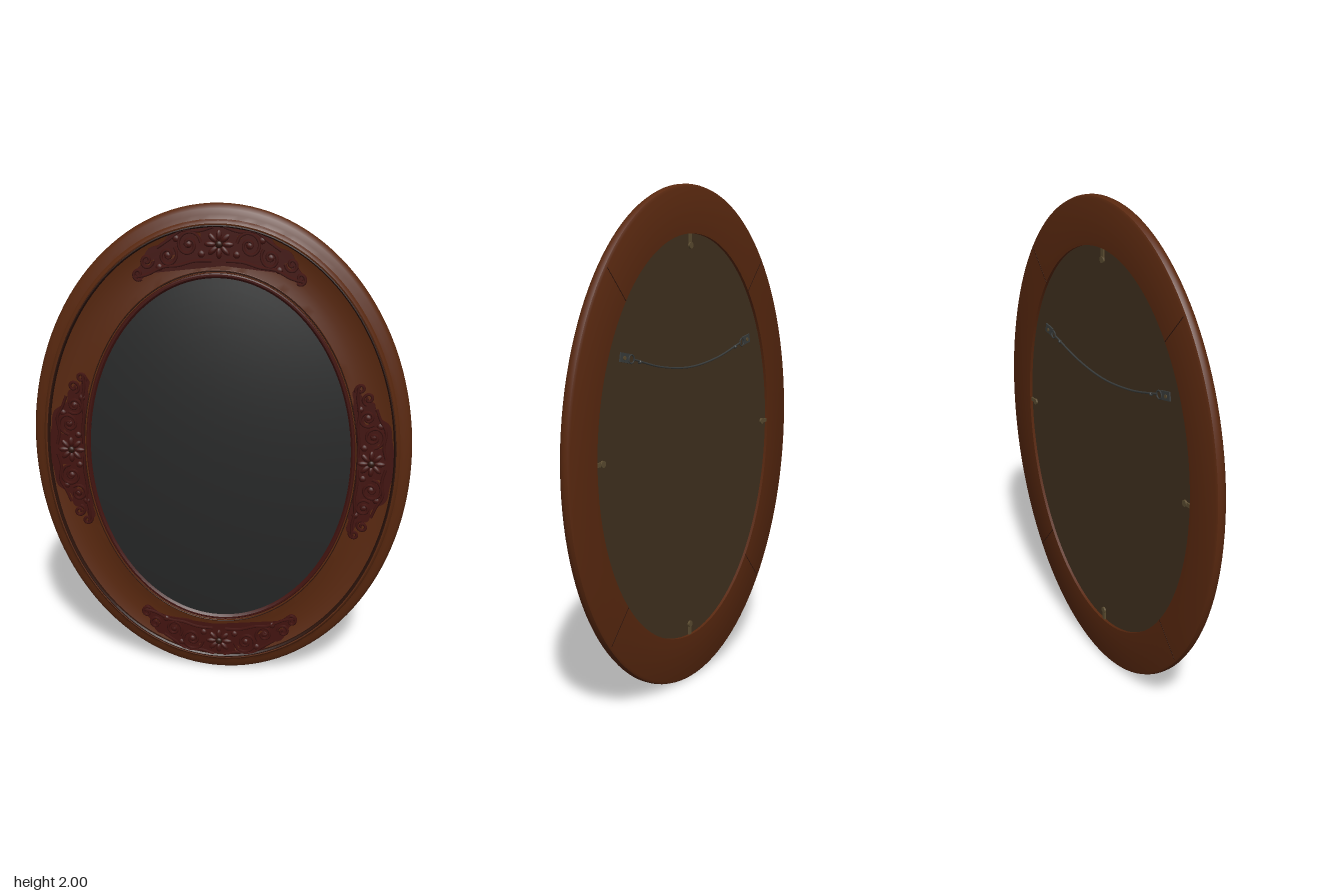
import * as THREE from 'three';
import { toCreasedNormals } from 'three/addons/utils/BufferGeometryUtils.js';

const mat = (name, color, side = THREE.FrontSide) => {
  const m = new THREE.MeshStandardMaterial({ color, side });
  m.name = name;
  return m;
};

// Oval at t: 0 is the outer edge of the frame, 1 is the edge of the glass
const oval = (t, a, z) => new THREE.Vector3(
  (0.765 - 0.24 * t) * Math.cos(a), 1 + (1 - 0.275 * t) * Math.sin(a), z);

// Sweep a profile of [t, z] points round the oval
function sweep(profile, point = oval, seg = 128) {
  const pos = [], index = [], n = profile.length;
  for (let i = 0; i < seg; i++)
    for (const [t, z] of profile) pos.push(...point(t, i / seg * Math.PI * 2, z).toArray());
  for (let i = 0; i < seg; i++) {
    const k = (i + 1) % seg;
    for (let j = 0; j < n - 1; j++) {
      const a = i * n + j, b = k * n + j;
      index.push(a, b, b + 1, a, b + 1, a + 1);
    }
  }
  const g = new THREE.BufferGeometry();
  g.setAttribute('position', new THREE.Float32BufferAttribute(pos, 3));
  g.setIndex(index);
  return toCreasedNormals(g, 0.6);
}

export function createModel() {
  const root = new THREE.Group();
  root.name = 'ovalFrame';
  const wood = mat('warm wood', 0x59280f);
  const carved = mat('dark red carving', 0x42130f);
  const dark = mat('dark groove wood', 0x2c130a);
  const glass = mat('dark glass', 0x272828);
  const board = mat('backing board', 0x41311f);
  const steel = mat('dull steel', 0x3a3d3c);
  const brass = mat('old brass', 0x5b4c30);

  const add = (name, geo, material, parent = root) => {
    const m = new THREE.Mesh(geo, material);
    m.name = name;
    parent.add(m);
    return m;
  };

  // Moulded frame, from the rebate at the back round to the inner edge
  add('frame', sweep([
    [0.68, -0.045], [0.68, -0.062], [0.05, -0.062], [0.015, -0.057], [0, -0.046], [0, -0.034],
    [0.02, -0.023], [0.06, -0.015], [0.13, -0.009], [0.19, -0.003], [0.21, 0.006], [0.24, 0.012],
    [0.27, 0.01], [0.29, 0.0], [0.36, -0.005], [0.5, -0.01], [0.65, -0.01], [0.78, -0.006],
    [0.88, 0.0], [0.9, 0.006], [0.92, 0.006], [0.935, -0.001]]), wood);
  add('outerBead', sweep([[0.255, 0.006], [0.26, 0.013], [0.275, 0.014], [0.295, 0.008], [0.3, -0.004]]), dark);
  add('ridgeLine', sweep([[0.885, 0.0], [0.89, 0.0075], [0.9, 0.0075], [0.91, 0.004]]), dark);
  add('innerLip', sweep([[0.925, 0.004], [0.94, 0.008], [0.965, 0.008], [0.99, 0.003], [1.02, -0.01]]), carved);

  // Domed glass
  const dome = [];
  for (let i = 0; i <= 16; i++) {
    const r = Math.max(1 - i / 16, 0.0005);
    dome.push([r, 0.062 * (1 - r * r) - 0.001]);
  }
  add('domedGlass', sweep(dome, (r, a, z) =>
    new THREE.Vector3(0.53 * r * Math.cos(a), 1 + 0.73 * r * Math.sin(a), z)), glass);

  // Backing board
  const panel = add('backingBoard', new THREE.CircleGeometry(1, 128), board);
  panel.scale.set(0.605, 0.815, 1);
  panel.rotation.y = Math.PI;
  panel.position.set(0, 1, -0.05);

  // Four carved ornaments, laid out flat in (u, v) and bent onto the oval
  const topEdge = [[0, 0.076], [0.09, 0.066], [0.16, 0.072], [0.21, 0.04], [0.26, 0.045], [0.31, 0.01],
    [0.35, 0.0], [0.34, -0.03], [0.28, -0.03], [0.22, -0.045], [0.15, -0.065], [0.08, -0.06], [0, -0.072]];
  const sideEdge = [[0, 0.088], [0.09, 0.075], [0.15, 0.07], [0.2, 0.02], [0.25, 0.02], [0.28, -0.02],
    [0.34, -0.03], [0.33, -0.055], [0.28, -0.06], [0.25, -0.08], [0.15, -0.093], [0.08, -0.093], [0, -0.093]];

  const spiral = (cu, cv, r, start, turns) => Array.from({ length: 19 }, (_, i) => {
    const f = i / 18, a = start + f * turns * Math.PI * 2;
    return [cu + r * (1 - 0.85 * f) * Math.cos(a), cv + r * (1 - 0.85 * f) * Math.sin(a)];
  });

  function ornament(name, angle, radius, tc, edge, shift) {
    const g = new THREE.Group();
    g.name = name;
    root.add(g);
    const bend = (u, v, z) => oval(tc - v / 0.25, angle - u / radius, z);

    // Pierced ground plate
    const outline = [...edge, ...edge.slice(1, -1).reverse().map(([u, v]) => [-u, v])]
      .map(([u, v]) => new THREE.Vector3(u, v, 0));
    const pts = new THREE.CatmullRomCurve3(outline, true, 'centripetal').getPoints(120).slice(0, -1);
    const shape = new THREE.Shape(pts.map(p => new THREE.Vector2(p.x, p.y)));
    for (const s of [-1, 1]) for (const [u, v, a, b] of [[0.19, -0.01, 0.018, 0.012], [0.27, 0.0, 0.016, 0.009], [0.075, 0.035, 0.01, 0.012]]) {
      const hole = new THREE.Path();
      hole.absellipse(s * u, v + shift, a, b, 0, Math.PI * 2, true);
      shape.holes.push(hole);
    }
    const plate = new THREE.ExtrudeGeometry(shape, { depth: 0.014, bevelEnabled: false, curveSegments: 6 });
    const p = plate.attributes.position;
    for (let i = 0; i < p.count; i++) {
      const q = bend(p.getX(i), p.getY(i), p.getZ(i) - 0.011);
      p.setXYZ(i, q.x, q.y, q.z);
    }
    plate.computeVertexNormals();
    add('groundPlate', plate, carved, g);

    // Mirrored scrolls and curling tendrils
    for (const s of [-1, 1]) {
      const curls = [
        spiral(0.115, 0.01, 0.048, Math.PI, -1.6), spiral(0.2, -0.005, 0.038, 2.6, 1.5),
        spiral(0.28, 0.012, 0.026, 3.6, 1.4), spiral(0.33, -0.01, 0.022, 4.5, 1.3),
        [[0.03, -0.055], [0.1, -0.05], [0.17, -0.05], [0.23, -0.035], [0.3, -0.03], [0.35, -0.01]],
        [[0.02, 0.06], [0.07, 0.05], [0.13, 0.062], [0.18, 0.045], [0.23, 0.035]]];
      for (const c of curls) {
        const path = new THREE.CatmullRomCurve3(c.map(([u, v]) => bend(s * u, v + shift, 0.005)));
        add('scroll', new THREE.TubeGeometry(path, 32, 0.0065, 5), carved, g);
      }
      // Leaf buds
      for (const [u, v] of [[0.115, 0.01], [0.2, -0.005], [0.155, 0.04], [0.245, -0.03], [0.07, -0.03]]) {
        const bud = add('leafBud', new THREE.SphereGeometry(1, 10, 6), carved, g);
        bud.position.copy(bend(s * u, v + shift, 0.003));
        bud.scale.set(0.014, 0.014, 0.008);
      }
    }

    // Centre flower
    for (let i = 0; i < 8; i++) {
      const a = i * Math.PI / 4;
      const petal = add('petal', new THREE.SphereGeometry(1, 10, 6), carved, g);
      petal.position.copy(bend(0, shift, 0.004)).add(new THREE.Vector3(0.034 * Math.cos(a), 0.034 * Math.sin(a), 0));
      petal.scale.set(0.022, 0.011, 0.009);
      petal.rotation.z = a;
    }
    const heart = add('flowerHeart', new THREE.SphereGeometry(1, 12, 8), dark, g);
    heart.position.copy(bend(0, shift, 0.006));
    heart.scale.set(0.014, 0.014, 0.009);
  }
  ornament('topOrnament', Math.PI / 2, 0.64, 0.53, topEdge, 0);
  ornament('bottomOrnament', -Math.PI / 2, 0.64, 0.53, topEdge, 0);
  ornament('leftOrnament', 0, 0.84, 0.62, sideEdge, -0.01);
  ornament('rightOrnament', Math.PI, 0.84, 0.62, sideEdge, -0.01);

  // Joint lines and board clips on the back
  for (let i = 0; i < 4; i++) {
    const a = Math.PI / 4 + i * Math.PI / 2;
    const from = oval(0.05, a, -0.062), to = oval(0.68, a, -0.062);
    const joint = add('frameJoint', new THREE.BoxGeometry(from.distanceTo(to), 0.003, 0.001), dark);
    joint.position.copy(from).lerp(to, 0.5);
    joint.rotation.z = Math.atan2(to.y - from.y, to.x - from.x);

    const b = i * Math.PI / 2;
    const clip = new THREE.Group();
    clip.name = 'boardClip';
    clip.position.set(0.585 * Math.cos(b), 1 + 0.79 * Math.sin(b), -0.054);
    clip.rotation.z = b;
    root.add(clip);
    add('clipBar', new THREE.BoxGeometry(0.05, 0.016, 0.006), brass, clip);
    const screw = add('clipScrew', new THREE.CylinderGeometry(0.013, 0.013, 0.008, 12), brass, clip);
    screw.rotation.x = Math.PI / 2;
    screw.position.set(-0.022, 0, -0.002);
  }

  // Hanging wire with a plate and ring at each end
  for (const s of [-1, 1]) {
    const plate = add('hangerPlate', new THREE.BoxGeometry(0.055, 0.035, 0.006), steel);
    plate.position.set(s * 0.425, 1.37, -0.053);
    plate.rotation.z = s * 0.2;
    const screw = add('hangerScrew', new THREE.CylinderGeometry(0.008, 0.008, 0.004, 10), brass);
    screw.rotation.x = Math.PI / 2;
    screw.position.set(s * 0.43, 1.37, -0.057);
    const ring = add('hangerRing', new THREE.TorusGeometry(0.016, 0.003, 6, 16), steel);
    ring.position.set(s * 0.388, 1.362, -0.056);
    const knot = add('wireKnot', new THREE.SphereGeometry(0.008, 8, 6), steel);
    knot.position.set(s * 0.335, 1.346, -0.055);
  }
  const wire = new THREE.CatmullRomCurve3([[-0.375, 1.36], [-0.2, 1.315], [0, 1.295], [0.2, 1.315], [0.375, 1.36]]
    .map(([x, y]) => new THREE.Vector3(x, y, -0.055)));
  add('hangingWire', new THREE.TubeGeometry(wire, 40, 0.004, 6), steel);

  return root;
}
